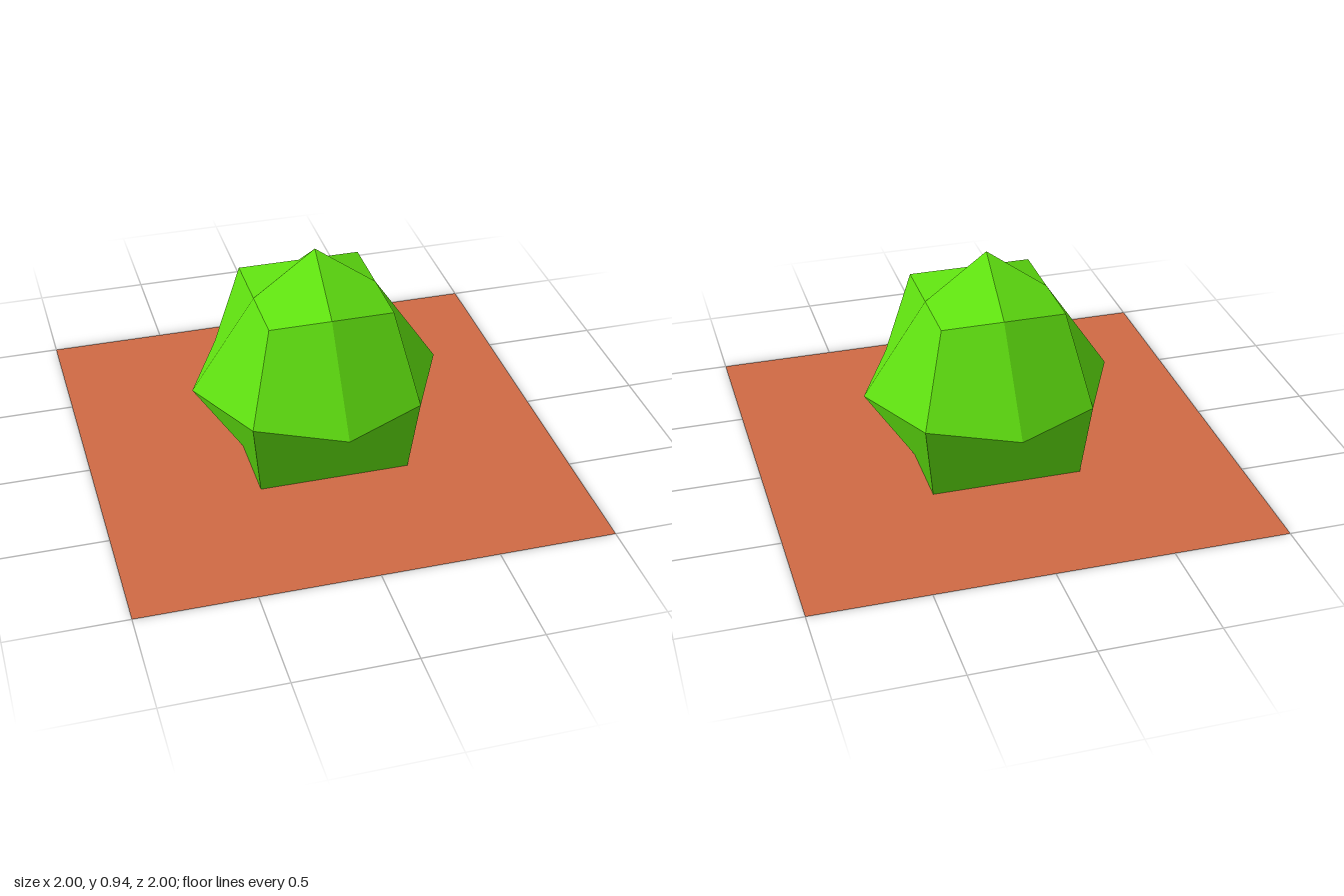
import * as THREE from 'three';

const leafGreen = new THREE.MeshStandardMaterial({ color: 0x60e210 });
leafGreen.name = 'leafGreen';
const clay = new THREE.MeshStandardMaterial({ color: 0xd06a44, side: THREE.DoubleSide });
clay.name = 'clay';

// Eight points around y: even ones on the axes, odd ones on the diagonals
function ring(y, axis, corner) {
  return Array.from({ length: 8 }, (_, i) => {
    const r = i % 2 ? corner * Math.SQRT2 : axis;
    const a = (i * Math.PI) / 4;
    return new THREE.Vector3(Math.sin(a) * r, y, Math.cos(a) * r);
  });
}

// Faceted bush: every four-sided facet gets one shared normal
function bushGeometry() {
  const positions = [];
  const normals = [];
  const quad = (p) => {
    const n = p[2].clone().sub(p[0]).cross(p[3].clone().sub(p[1])).normalize();
    for (const k of [0, 1, 3, 1, 2, 3]) {
      positions.push(...p[k].toArray());
      normals.push(...n.toArray());
    }
  };
  const band = (low, high, turned) => {
    for (let i = 0; i < 8; i++) {
      const j = (i + 1) % 8;
      const p = [low[i], low[j], high[j], high[i]];
      if (i % 2 === turned) p.push(p.shift()); // mirror the facet split
      quad(p);
    }
  };

  const base = ring(0, 0.325, 0.325);
  const middle = ring(0.33, 0.54, 0.362);
  const shoulder = ring(0.743, 0.265, 0.265);
  const tip = new THREE.Vector3(0, 0.94, 0);

  band(base, middle, 0);
  band(middle, shoulder, 1);
  // Crown
  for (let i = 0; i < 8; i += 2) quad([tip, shoulder[i], shoulder[i + 1], shoulder[(i + 2) % 8]]);

  const geometry = new THREE.BufferGeometry();
  geometry.setAttribute('position', new THREE.Float32BufferAttribute(positions, 3));
  geometry.setAttribute('normal', new THREE.Float32BufferAttribute(normals, 3));
  return geometry;
}

export function createModel() {
  const model = new THREE.Group();
  model.name = 'bushOnGround';

  // Flat square of ground
  const ground = new THREE.Mesh(new THREE.PlaneGeometry(2, 2).rotateX(-Math.PI / 2), clay);
  ground.name = 'ground';

  const bush = new THREE.Mesh(bushGeometry(), leafGreen);
  bush.name = 'bush';

  model.add(ground, bush);
  return model;
}
